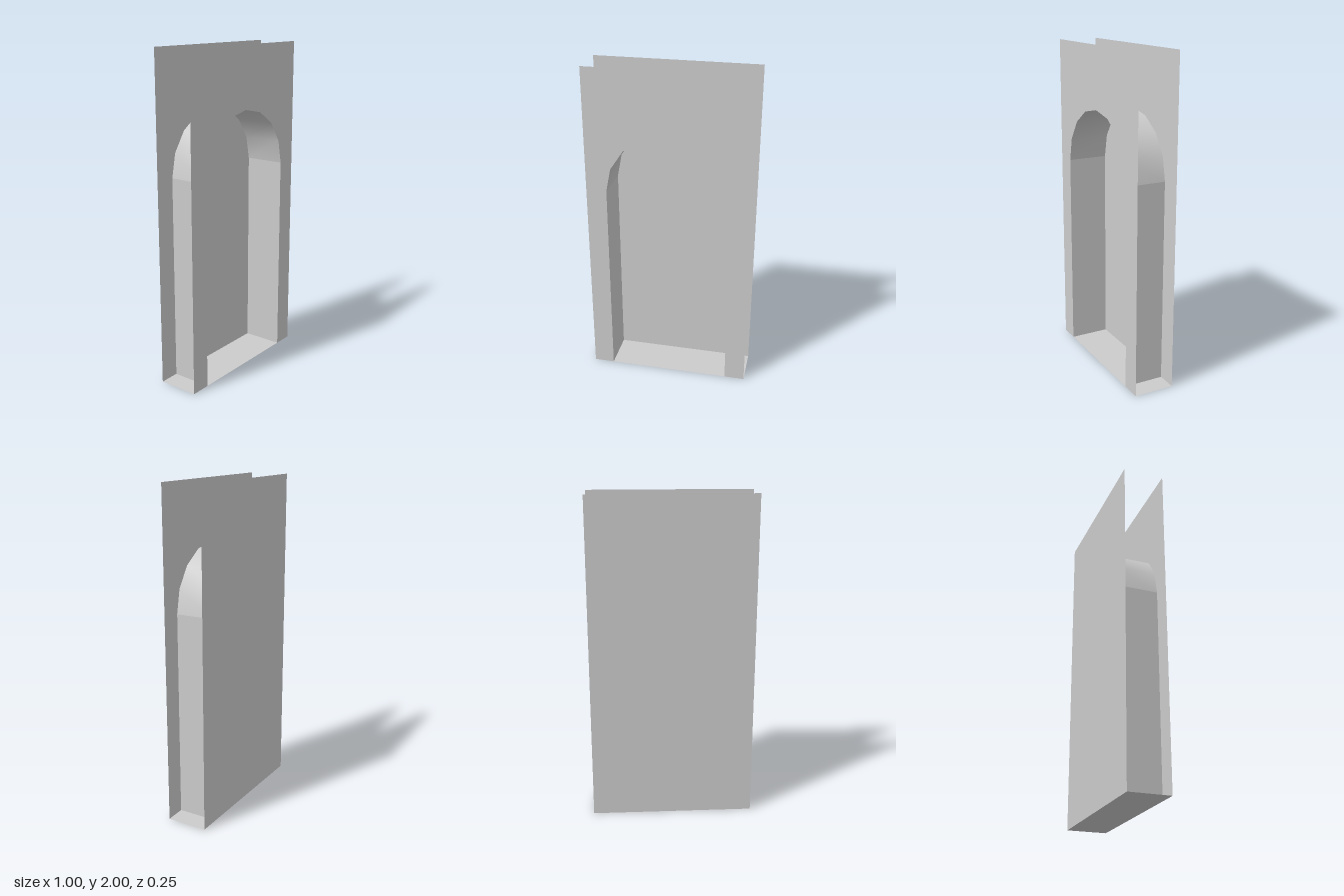
import * as THREE from 'three';

const WIDTH = 1, HEIGHT = 2, DEPTH = 0.25;
const RADIUS = 0.375, SPRING = 1.25, SEGMENTS = 8;

export function createModel() {
  const group = new THREE.Group();
  const material = new THREE.MeshStandardMaterial({ color: 0xcccccc, side: THREE.DoubleSide });

  const add = (name, geometry, x, y, z) => {
    const mesh = new THREE.Mesh(geometry, material);
    mesh.name = name;
    mesh.position.set(x, y, z);
    group.add(mesh);
  };

  // Front wall: a rectangle with the arched doorway cut up from its bottom edge
  const wall = new THREE.Shape();
  wall.moveTo(-RADIUS, 0);
  wall.lineTo(-WIDTH / 2, 0);
  wall.lineTo(-WIDTH / 2, HEIGHT);
  wall.lineTo(WIDTH / 2, HEIGHT);
  wall.lineTo(WIDTH / 2, 0);
  wall.lineTo(RADIUS, 0);
  for (let i = 0; i <= SEGMENTS; i++) {
    const a = (i / SEGMENTS) * Math.PI;
    wall.lineTo(RADIUS * Math.cos(a), SPRING + RADIUS * Math.sin(a));
  }
  add('frontWall', new THREE.ShapeGeometry(wall), 0, 0, DEPTH / 2);

  // Plain back wall, facing backwards
  add('backWall', new THREE.PlaneGeometry(WIDTH, HEIGHT).rotateY(Math.PI), 0, HEIGHT / 2, -DEPTH / 2);

  // Floor between the two walls
  add('floor', new THREE.PlaneGeometry(WIDTH, DEPTH).rotateX(-Math.PI / 2), 0, 0, 0);

  // Flat jambs of the doorway, facing inwards
  for (const [name, side] of [['leftJamb', 1], ['rightJamb', -1]]) {
    const jamb = new THREE.PlaneGeometry(DEPTH, SPRING).rotateY(-side * Math.PI / 2);
    add(name, jamb, side * RADIUS, SPRING / 2, 0);
  }

  // Smooth half-round vault, turned inside out to face the doorway
  const vault = new THREE.CylinderGeometry(RADIUS, RADIUS, DEPTH, SEGMENTS, 1, true, -Math.PI / 2, Math.PI);
  vault.rotateX(-Math.PI / 2);
  vault.index.array.reverse();
  vault.computeVertexNormals();
  add('archVault', vault, 0, SPRING, 0);

  return group;
}
